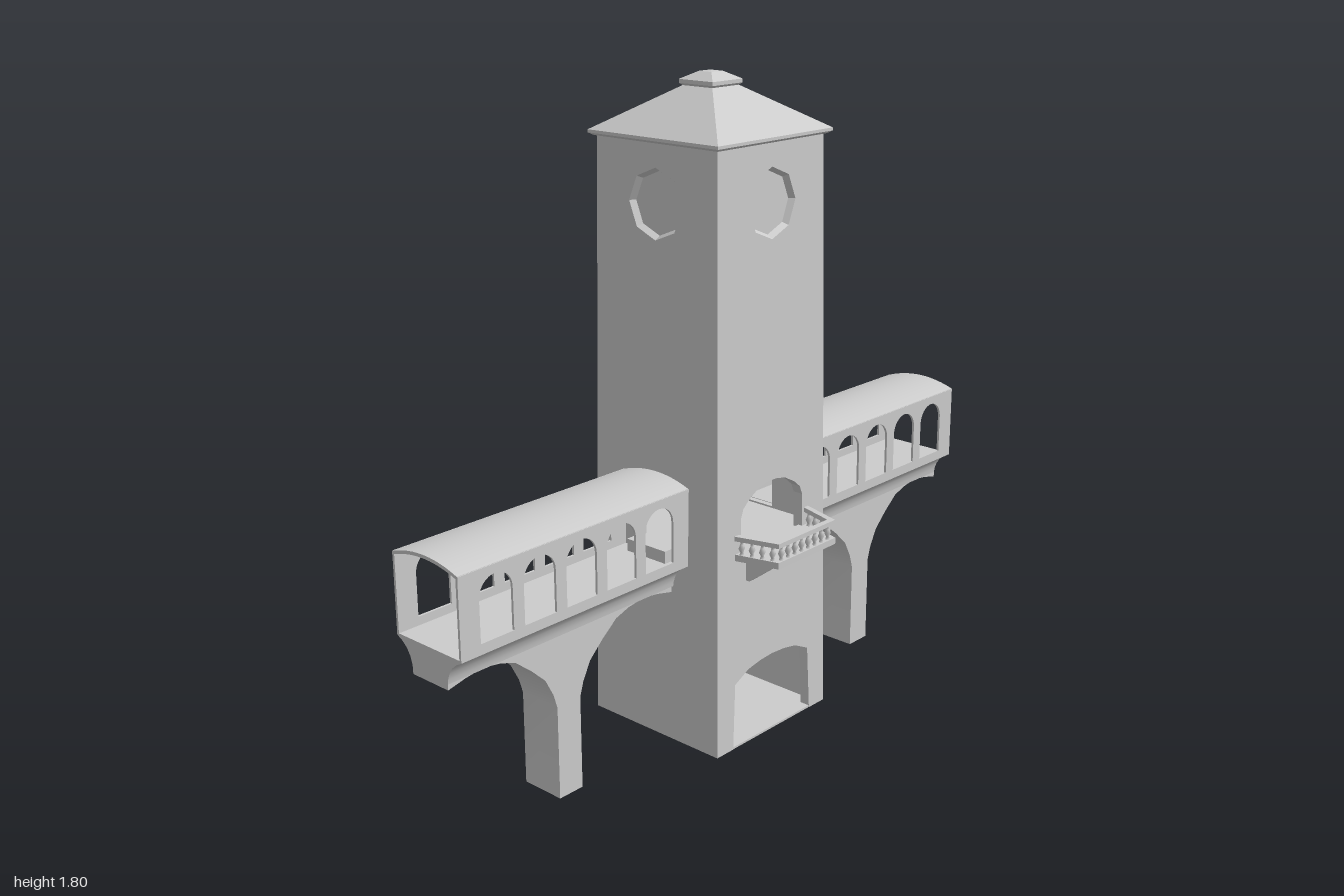
import * as THREE from 'three';
import { mergeVertices, toCreasedNormals } from 'three/addons/utils/BufferGeometryUtils.js';

const flat = new THREE.MeshStandardMaterial({ color: 0xcccccc, flatShading: true });
const smooth = new THREE.MeshStandardMaterial({ color: 0xcccccc });
const thin = new THREE.MeshStandardMaterial({ color: 0xcccccc, flatShading: true, side: THREE.DoubleSide });

function add(parent, name, geometry, material = flat) {
  const mesh = new THREE.Mesh(geometry, material);
  mesh.name = name;
  parent.add(mesh);
  return mesh;
}

const vectors = (pts) => pts.map(([x, y]) => new THREE.Vector2(x, y));
const shapeOf = (pts) => new THREE.Shape(vectors(pts));
const mirrored = (half) => [...half, ...half.map(([x, y]) => [-x, y]).reverse()];
const extrude = (shape, depth, curveSegments = 8) =>
  new THREE.ExtrudeGeometry(shape, { depth, bevelEnabled: false, curveSegments });
const box = (w, h, d, x, y, z) => new THREE.BoxGeometry(w, h, d).translate(x, y, z);

// Extrude a (z, y) section along x
const alongX = (pts, x0, x1) =>
  toCreasedNormals(extrude(shapeOf(pts), x1 - x0).rotateY(Math.PI / 2).translate(x0, 0, 0), 0.6);

// Square-plan solid from a profile of [half width, height]
const squareLathe = (pts) =>
  new THREE.LatheGeometry(vectors(pts.map(([r, y]) => [r * Math.SQRT2, y])), 4, Math.PI / 4);

// Tapering tower: half width at a given height
const TOP = 1.64, WALL = 0.03, CLOCK_Y = 1.48;
const halfWidth = (y) => 0.23 - (0.022 * y) / TOP;

// Lean a flat panel so that it follows the taper
function lean(geometry) {
  const p = geometry.attributes.position;
  for (let i = 0; i < p.count; i++) p.setZ(i, p.getZ(i) + halfWidth(p.getY(i)));
  geometry.computeVertexNormals();
  return geometry;
}

function towerWall(isFront) {
  const wall = new THREE.Group();
  wall.name = isFront ? 'archedWall' : 'bridgeWall';
  const w = halfWidth(TOP);
  const arch = isFront ? [[0.165, 0], [0.155, 0.19], [0.1, 0.217], [0.05, 0.226], [0, 0.229],
    [-0.05, 0.226], [-0.1, 0.217], [-0.155, 0.19], [-0.165, 0]] : [];
  const shape = shapeOf([[-w, TOP], [-0.23, 0], ...arch.reverse(), [0.23, 0], [w, TOP]]);
  const clock = [];
  for (let i = 0; i < 8; i++) {
    const a = (i * Math.PI) / 4;
    clock.push([0.093 * Math.sin(a), CLOCK_Y + 0.093 * Math.cos(a)]);
  }
  const opening = isFront
    ? mirrored([[0.128, 0.56], [0.128, 0.66], [0.118, 0.685], [0.095, 0.705], [0.055, 0.727], [0.02, 0.735]])
    : mirrored([[0.062, 0.565], [0.062, 0.738]]);
  shape.holes.push(new THREE.Path(vectors(clock)), new THREE.Path(vectors(opening)));
  add(wall, 'wall', lean(extrude(shape, WALL).translate(0, 0, -WALL)));

  // Recessed octagonal clock with a sloping rim
  const rim = new THREE.CylinderGeometry(0.093, 0.083, 0.016, 8, 1, true);
  add(wall, 'clockRim', lean(rim.rotateX(Math.PI / 2).translate(0, CLOCK_Y, -0.008)), thin);
  const face = new THREE.CircleGeometry(0.084, 8, Math.PI / 2);
  add(wall, 'clockFace', lean(face.translate(0, CLOCK_Y, -0.016)), thin);
  return wall;
}

function createTower() {
  const tower = new THREE.Group();
  tower.name = 'tower';
  for (let i = 0; i < 4; i++) {
    const wall = towerWall(i % 2 === 0);
    wall.rotation.y = (i * Math.PI) / 2;
    tower.add(wall);
  }
  add(tower, 'groundFloor', box(0.458, 0.006, 0.458, 0, 0.003, 0));
  add(tower, 'bridgeFloor', box(0.41, 0.02, 0.41, 0, 0.55, 0));
  add(tower, 'roof', squareLathe([[0, 1.635], [0.214, 1.635], [0.225, 1.642], [0.225, 1.65],
    [0.05, 1.762], [0, 1.762]]));
  add(tower, 'roofCap', squareLathe([[0, 1.76], [0.05, 1.76], [0.058, 1.767], [0.058, 1.777],
    [0.022, 1.797], [0, 1.8]]));
  return tower;
}

function createBalcony() {
  const balcony = new THREE.Group();
  balcony.name = 'balcony';
  const slab = shapeOf([[-0.155, 0.21], [0.155, 0.21], [0.12, 0.345], [-0.12, 0.345]]);
  add(balcony, 'slab', extrude(slab, 0.018).rotateX(Math.PI / 2).translate(0, 0.567, 0));

  // Triangular brackets
  for (const x of [-0.1, 0.1]) {
    const side = shapeOf([[-0.21, 0.55], [-0.315, 0.55], [-0.315, 0.54], [-0.235, 0.48], [-0.21, 0.48]]);
    add(balcony, 'bracket', extrude(side, 0.016).rotateY(Math.PI / 2).translate(x - 0.008, 0, 0));
  }

  // Rail with turned balusters on three sides
  const path = [[-0.145, 0.222], [-0.112, 0.335], [0.112, 0.335], [0.145, 0.222]];
  const turned = mergeVertices(new THREE.LatheGeometry(vectors([[0.006, 0.565], [0.006, 0.57],
    [0.004, 0.574], [0.0095, 0.585], [0.005, 0.596], [0.004, 0.602], [0.008, 0.608]]), 6));
  const counts = [4, 8, 4];
  for (let s = 0; s < 3; s++) {
    const [x0, z0] = path[s], [x1, z1] = path[s + 1];
    const dx = x1 - x0, dz = z1 - z0;
    const rail = add(balcony, 'rail', new THREE.BoxGeometry(Math.hypot(dx, dz) + 0.012, 0.013, 0.017));
    rail.position.set((x0 + x1) / 2, 0.612, (z0 + z1) / 2);
    rail.rotation.y = -Math.atan2(dz, dx);
    for (let i = 0; i < counts[s]; i++) {
      const t = (i + 0.5) / counts[s];
      add(balcony, 'baluster', turned, smooth).position.set(x0 + dx * t, 0, z0 + dz * t);
    }
  }
  return balcony;
}

function createBridge() {
  const bridge = new THREE.Group();
  bridge.name = 'bridge';
  const X0 = 0.2, X1 = 1;

  // Side walls with five arched windows
  const side = shapeOf([[X0, 0.53], [X1, 0.53], [X1, 0.745], [X0, 0.745]]);
  for (let i = 0; i < 5; i++) {
    const c = 0.331 + i * 0.139, r = 0.052;
    const hole = new THREE.Path();
    hole.moveTo(c - r, 0.555).lineTo(c + r, 0.555).lineTo(c + r, 0.668);
    hole.absarc(c, 0.668, r, 0, Math.PI, false);
    hole.lineTo(c - r, 0.555);
    side.holes.push(hole);
  }
  for (const z of [-0.119, 0.112]) add(bridge, 'sideWall', extrude(side, 0.007).translate(0, 0, z));

  // Shallow vaulted roof
  const vault = [];
  for (let i = 0; i <= 12; i++) {
    const t = i / 6 - 1;
    vault.push([0.12 * t, 0.766 - 0.022 * t * t]);
  }
  const under = vault.map(([z, y]) => [z, y - 0.009]).reverse();
  add(bridge, 'vaultRoof', alongX([...vault, ...under], X0, X1), smooth);

  // Deck with coved underside
  const cove = mirrored([[0.119, 0.532], [0.119, 0.527], [0.1, 0.517], [0.084, 0.503],
    [0.073, 0.486], [0.067, 0.468], [0.065, 0.455]]);
  add(bridge, 'deck', alongX(cove, X0, X1), smooth);
  add(bridge, 'step', box(0.05, 0.037, 0.14, 0.235, 0.548, 0));

  // Pier spreading into two half arches, left open at the foot
  const c = 0.615;
  const half = [[0.04, 0], [0.04, 0.26], [0.052, 0.3], [0.078, 0.35], [0.125, 0.395], [0.175, 0.435],
    [0.22, 0.45], [0.275, 0.459], [0.33, 0.452], [0.385, 0.44], [0.385, 0.475]];
  const pier = shapeOf(mirrored(half.map(([x, y]) => [x, y])).map(([x, y]) => [c + x, y]));
  const solid = extrude(pier, 0.13).translate(0, 0, -0.065);
  const p = solid.attributes.position, kept = [];
  for (let i = 0; i < p.count; i += 3) {
    const foot = Math.max(p.getY(i), p.getY(i + 1), p.getY(i + 2)) < 0.001;
    if (!foot) for (let k = 0; k < 3; k++) kept.push(p.getX(i + k), p.getY(i + k), p.getZ(i + k));
  }
  const open = new THREE.BufferGeometry();
  open.setAttribute('position', new THREE.Float32BufferAttribute(kept, 3));
  add(bridge, 'pier', toCreasedNormals(open, 0.5), new THREE.MeshStandardMaterial({
    color: 0xcccccc, side: THREE.DoubleSide }));
  return bridge;
}

export function createModel() {
  const model = new THREE.Group();
  model.name = 'bridgeTower';
  model.add(createTower());
  for (const turn of [0, Math.PI]) {
    for (const part of [createBridge(), createBalcony()]) {
      part.rotation.y = turn;
      model.add(part);
    }
  }
  return model;
}
